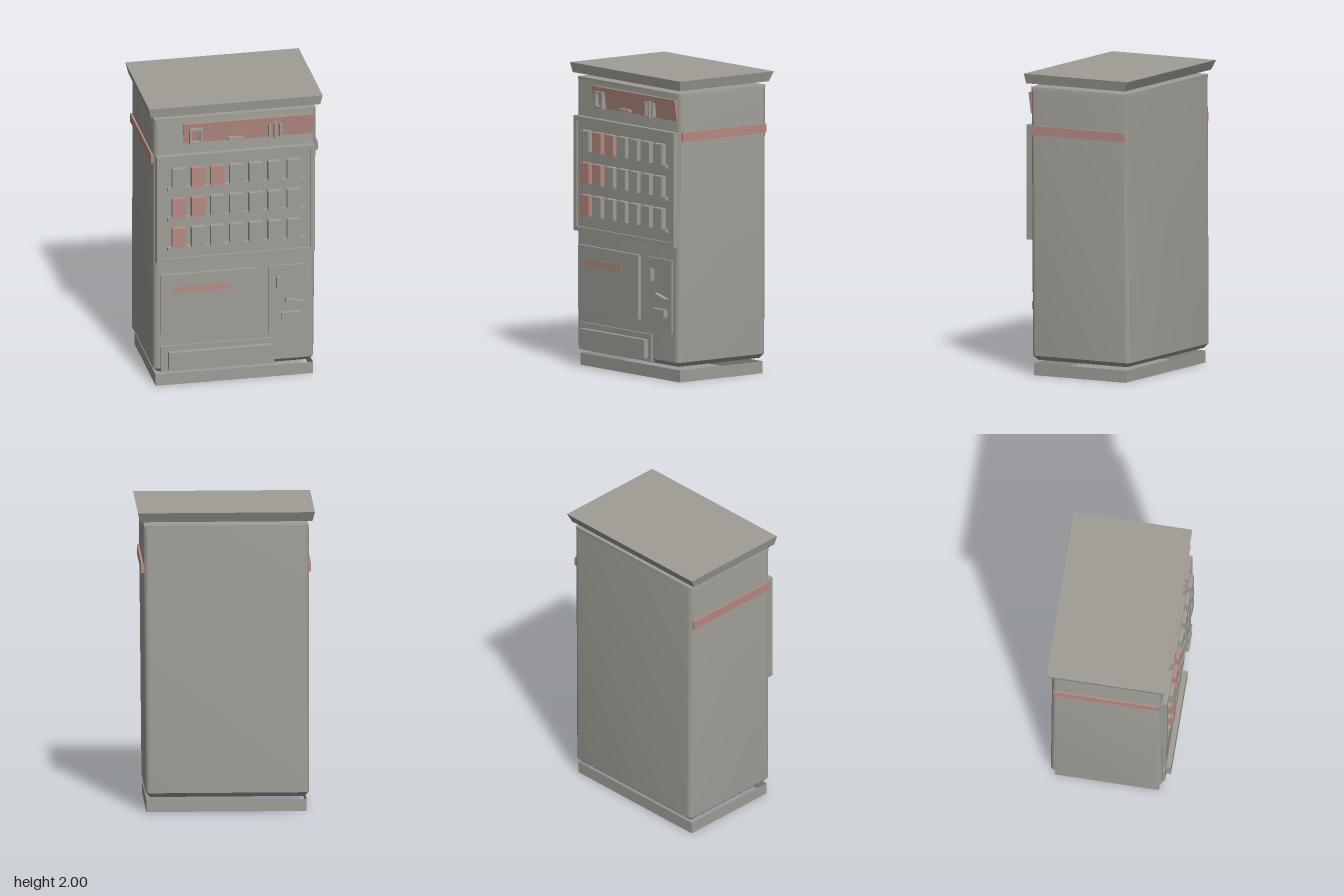
import * as THREE from 'three';
import { toCreasedNormals } from 'three/addons/utils/BufferGeometryUtils.js';

export function createModel() {
  const root = new THREE.Group();
  root.name = 'vendingMachine';
  const gray = new THREE.MeshStandardMaterial({ color: 0x9f9d96, side: THREE.DoubleSide });
  gray.name = 'warm gray';
  const red = new THREE.MeshStandardMaterial({ color: 0xb58b83 });
  red.name = 'dusty red';

  function add(name, geometry, material = gray, parent = root) {
    const mesh = new THREE.Mesh(geometry, material);
    mesh.name = name;
    parent.add(mesh);
    return mesh;
  }
  // Box given by its limits on each axis
  function box(name, x0, x1, y0, y1, z0, z1, material = gray, parent = root) {
    const g = new THREE.BoxGeometry(x1 - x0, y1 - y0, z1 - z0);
    g.translate((x0 + x1) / 2, (y0 + y1) / 2, (z0 + z1) / 2);
    return add(name, g, material, parent);
  }
  function group(name) {
    const g = new THREE.Group();
    g.name = name;
    root.add(g);
    return g;
  }
  function moveVertices(g, rule) {
    const p = g.attributes.position;
    const v = new THREE.Vector3();
    for (let i = 0; i < p.count; i++) {
      rule(v.fromBufferAttribute(p, i));
      p.setXYZ(i, v.x, v.y, v.z);
    }
    g.computeVertexNormals();
    return g;
  }
  function rectangle(target, x0, x1, y0, y1) {
    target.moveTo(x0, y0);
    target.lineTo(x1, y0);
    target.lineTo(x1, y1);
    target.lineTo(x0, y1);
    target.closePath();
    return target;
  }
  // Rectangular ring facing the front
  function ring(name, x0, x1, y0, y1, border, z0, z1, parent = root) {
    const shape = rectangle(new THREE.Shape(), x0, x1, y0, y1);
    shape.holes.push(rectangle(new THREE.Path(), x0 + border, x1 - border, y0 + border, y1 - border));
    const g = new THREE.ExtrudeGeometry(shape, { depth: z1 - z0, bevelEnabled: false });
    g.translate(0, 0, z0);
    return add(name, g, gray, parent);
  }

  // Cabinet: rounded upright corners, chamfered foot, slight taper
  const w = 0.545, d = 0.365, r = 0.035, h = 1.81, bevel = 0.03;
  const plan = new THREE.Shape();
  plan.moveTo(-w + r, -d);
  plan.lineTo(w - r, -d);
  plan.absarc(w - r, -d + r, r, -Math.PI / 2, 0);
  plan.lineTo(w, d - r);
  plan.absarc(w - r, d - r, r, 0, Math.PI / 2);
  plan.lineTo(-w + r, d);
  plan.absarc(-w + r, d - r, r, Math.PI / 2, Math.PI);
  plan.lineTo(-w, -d + r);
  plan.absarc(-w + r, -d + r, r, Math.PI, Math.PI * 1.5);
  const cabinet = new THREE.ExtrudeGeometry(plan, {
    depth: h - 2 * bevel, bevelEnabled: true, bevelThickness: bevel,
    bevelSize: bevel, bevelOffset: -bevel, bevelSegments: 1, curveSegments: 5,
  });
  cabinet.rotateX(-Math.PI / 2);
  cabinet.translate(0, 0.1 + bevel, -0.015);
  moveVertices(cabinet, (v) => {
    if (v.y > 1.9) {
      v.x *= 1.045;
      v.z = (v.z + 0.015) * 1.075 - 0.015;
    }
    const low = (1.91 - v.y) / h;
    if (v.x > 0) v.x -= 0.018 * low;
    if (v.z < 0) v.z -= 0.008 * low;
  });
  add('cabinet', toCreasedNormals(cabinet, 0.5));

  // Flared cap floating above the cabinet
  const cap = new THREE.BoxGeometry(1.16, 0.065, 0.785);
  cap.translate(0, 1.9675, -0.0175);
  add('cap', moveVertices(cap, (v) => {
    if (v.y < 1.96) {
      v.x *= 0.975;
      v.z = v.z > 0 ? 0.365 : -0.378;
    }
  }));

  // Plinth: open ring of four walls
  const plinth = new THREE.CylinderGeometry(Math.SQRT1_2, Math.SQRT1_2, 0.08, 4, 1, true, Math.PI / 4);
  plinth.scale(1.05, 1, 0.69);
  plinth.translate(-0.002, 0.04, -0.015);
  add('plinth', toCreasedNormals(plinth, 0.5));

  // Side stripes
  for (const s of [-1, 1]) {
    const x = s * 0.546;
    box('sideStripe', x - 0.011, x + 0.011, 1.595, 1.655, -0.365, 0.33, red);
  }

  // Sloping header sign with relief marks
  const sign = new THREE.BoxGeometry(0.87, 0.14, 0.035);
  sign.translate(0.085, 1.8, 0.3575);
  add('headerSign', moveVertices(sign, (v) => {
    if (v.z > 0.36) v.z = v.y > 1.8 ? 0.374 : 0.356;
  }), red);
  const marks = group('headerMarks');
  ring('squareMark', -0.31, -0.222, 1.727, 1.84, 0.017, 0.35, 0.39, marks);
  box('dashMark', -0.053, 0.05, 1.737, 1.755, 0.35, 0.385, gray, marks);
  for (let i = 0; i < 3; i++) {
    const x = 0.217 + i * 0.037, y = i === 1 ? 0.056 : 0.047;
    box('barMark', x, x + 0.018, 1.782 - y, 1.782 + y, 0.35, 0.39, gray, marks);
  }

  // Display case with shelves of goods
  const display = group('displayCase');
  ring('displayFrame', -0.53, 0.525, 0.895, 1.655, 0.03, 0.34, 0.385, display);
  box('displayPanel', -0.51, 0.505, 0.91, 1.64, 0.34, 0.37, gray, display);
  const redGoods = [[1, 2], [0, 1], [0]];
  redGoods.forEach((reds, row) => {
    const y = 1.43 - row * 0.2125;
    box('shelf', -0.46, 0.455, y - 0.018, y + 0.004, 0.36, 0.396, gray, display);
    for (let i = 0; i < 7; i++) {
      const x = -0.385 + i * 0.128;
      box('product', x - 0.045, x + 0.045, y + 0.004, y + 0.14, 0.36, 0.41,
        reds.includes(i) ? red : gray, display);
    }
  });

  // Lower left panel with a red strip
  box('lowerPanel', -0.502, 0.135, 0.378, 0.803, 0.33, 0.372);
  box('panelStrip', -0.425, -0.04, 0.675, 0.715, 0.37, 0.375, red);

  // Payment panel
  const pay = group('paymentPanel');
  box('paymentPlate', 0.222, 0.477, 0.317, 0.803, 0.33, 0.365, gray, pay);
  box('coinSlot', 0.27, 0.297, 0.652, 0.73, 0.36, 0.396, gray, pay);
  box('noteSlot', 0.305, 0.435, 0.423, 0.475, 0.36, 0.396, gray, pay);
  const lever = new THREE.Shape([[0.327, 0.55], [0.455, 0.546], [0.332, 0.577]]
    .map(([x, y]) => new THREE.Vector2(x, y)));
  const leverGeometry = new THREE.ExtrudeGeometry(lever, { depth: 0.036, bevelEnabled: false });
  leverGeometry.translate(0, 0, 0.36);
  add('returnLever', leverGeometry, gray, pay);

  // Collection tray
  box('traySurround', -0.5, 0.26, 0.112, 0.292, 0.33, 0.365);
  box('trayFlap', -0.452, 0.23, 0.132, 0.255, 0.35, 0.398);

  return root;
}
